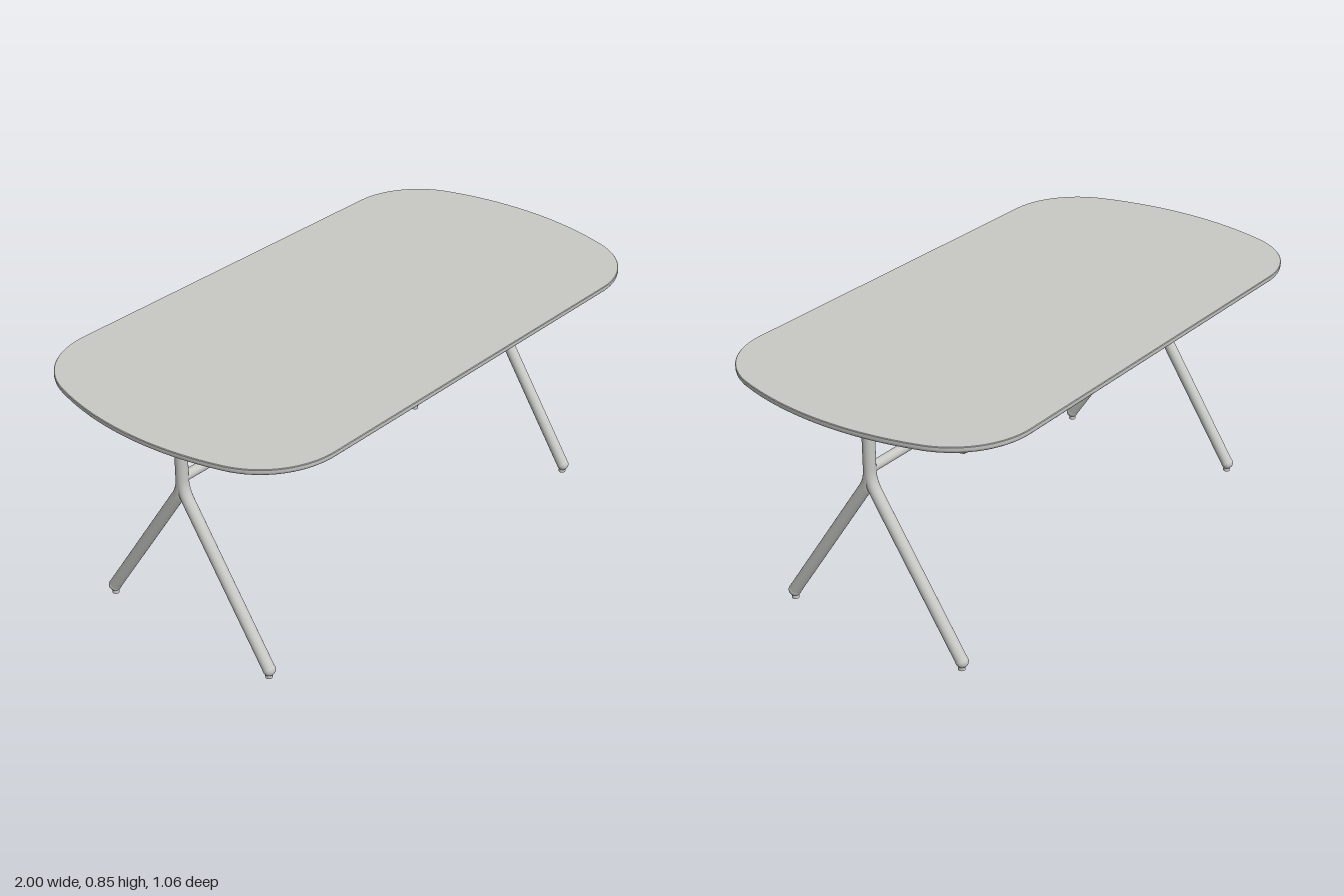
import * as THREE from 'three';
import { toCreasedNormals } from 'three/addons/utils/BufferGeometryUtils.js';

const grey = new THREE.MeshStandardMaterial({ color: 0xc8c8c5 });
grey.name = 'light grey';

function part(name, geometry, x = 0, y = 0, z = 0) {
  const mesh = new THREE.Mesh(geometry, grey);
  mesh.name = name;
  mesh.position.set(x, y, z);
  return mesh;
}

// Table outline: tight corner arcs tangent to wide, bowed end arcs
function outline(inset) {
  const shape = new THREE.Shape();
  const r = 0.28 - inset, R = 1.08 - inset, a = Math.atan2(0.25, 0.76), h = Math.PI / 2;
  shape.absarc(-0.08, 0, R, -a, a);
  shape.absarc(0.68, 0.25, r, a, h);
  shape.absarc(-0.68, 0.25, r, h, Math.PI - a);
  shape.absarc(0.08, 0, R, Math.PI - a, Math.PI + a);
  shape.absarc(-0.68, -0.25, r, Math.PI + a, 3 * h);
  shape.absarc(0.68, -0.25, r, 3 * h, 4 * h - a);
  const points = shape.getPoints(16);
  if (points[0].distanceTo(points[points.length - 1]) < 1e-5) points.pop();
  return points;
}

// Stacked outlines: crisp top edge, rounded underside edge
function tabletopGeometry() {
  const levels = [[0.002, 0.852], [0, 0.85], [0, 0.842]];
  for (let i = 1; i <= 5; i++) {
    const t = (i / 5) * Math.PI / 2;
    levels.push([0.018 * (1 - Math.cos(t)), 0.842 - 0.014 * Math.sin(t)]);
  }
  const pos = [], index = [];
  let n = 0;
  for (const [inset, y] of levels) {
    const loop = outline(inset);
    n = loop.length;
    loop.forEach(p => pos.push(p.x, y, -p.y));
  }
  const last = levels.length - 1, top = levels.length * n;
  pos.push(0, 0.852, 0, 0, 0.828, 0);
  for (let j = 0; j < n; j++) {
    const k = (j + 1) % n;
    for (let i = 0; i < last; i++) {
      const a = i * n + j, b = i * n + k;
      index.push(a, a + n, b, b, a + n, b + n);
    }
    index.push(top, j, k, top + 1, last * n + k, last * n + j);
  }
  const g = new THREE.BufferGeometry();
  g.setAttribute('position', new THREE.Float32BufferAttribute(pos, 3));
  g.setIndex(index);
  return toCreasedNormals(g, 0.6);
}

// Tapered plate under each end of the top
function bracketGeometry() {
  const s = new THREE.Shape();
  s.moveTo(-0.392, 0.83);
  s.lineTo(-0.392, 0.788);
  s.quadraticCurveTo(-0.392, 0.781, -0.385, 0.78);
  s.lineTo(-0.03, 0.763);
  s.lineTo(0.03, 0.763);
  s.lineTo(0.385, 0.78);
  s.quadraticCurveTo(0.392, 0.781, 0.392, 0.788);
  s.lineTo(0.392, 0.83);
  const g = new THREE.ExtrudeGeometry(s, { depth: 0.008, bevelEnabled: false });
  g.translate(0, 0, -0.004);
  return g.rotateY(Math.PI / 2);
}

// Leg tube that bends out of the post and runs straight to the foot
function legGeometry(side) {
  const v = (y, z) => new THREE.Vector3(0, y, z * side);
  const path = new THREE.CurvePath();
  path.add(new THREE.LineCurve3(v(0.62, 0), v(0.592, 0)));
  path.add(new THREE.QuadraticBezierCurve3(v(0.592, 0), v(0.551, 0), v(0.517, 0.0225)));
  path.add(new THREE.LineCurve3(v(0.517, 0.0225), v(0.03, 0.345)));
  return new THREE.TubeGeometry(path, 64, 0.0205, 24);
}

function trestle(side) {
  const g = new THREE.Group();
  g.name = side > 0 ? 'leftTrestle' : 'rightTrestle';
  g.add(part('post', new THREE.CylinderGeometry(0.0205, 0.0205, 0.22, 24), 0.785 * side, 0.685, 0));
  g.add(part('bracket', bracketGeometry(), 0.809 * side, 0, 0));
  for (const s of [1, -1]) {
    g.add(part('leg', legGeometry(s), 0.785 * side, 0, 0));
    g.add(part('footCap', new THREE.SphereGeometry(0.0212, 24, 16), 0.785 * side, 0.03, 0.345 * s));
    g.add(part('footGlide', new THREE.CylinderGeometry(0.012, 0.012, 0.016, 20), 0.785 * side, 0.008, 0.344 * s));
    // Screw heads on the outside of the bracket
    for (const z of [0.35, 0.377]) {
      const screw = part('screw', new THREE.CylinderGeometry(0.003, 0.003, 0.001, 12), 0.8132 * side, 0.805, z * s);
      screw.rotation.z = Math.PI / 2;
      g.add(screw);
    }
  }
  return g;
}

export function createModel() {
  const model = new THREE.Group();
  model.name = 'table';
  model.add(part('tabletop', tabletopGeometry()));
  model.add(trestle(1), trestle(-1));

  // Angle rails under the long edges
  for (const s of [1, -1]) {
    model.add(part('rail', new THREE.BoxGeometry(1.61, 0.038, 0.008), 0, 0.81, 0.384 * s));
    model.add(part('railFlange', new THREE.BoxGeometry(1.61, 0.005, 0.05), 0, 0.8265, 0.36 * s));
  }

  // Stretcher bar between the trestles
  const bar = part('stretcher', new THREE.CylinderGeometry(0.017, 0.017, 1.57, 24), 0, 0.594, 0);
  bar.rotation.z = Math.PI / 2;
  model.add(bar);
  return model;
}
